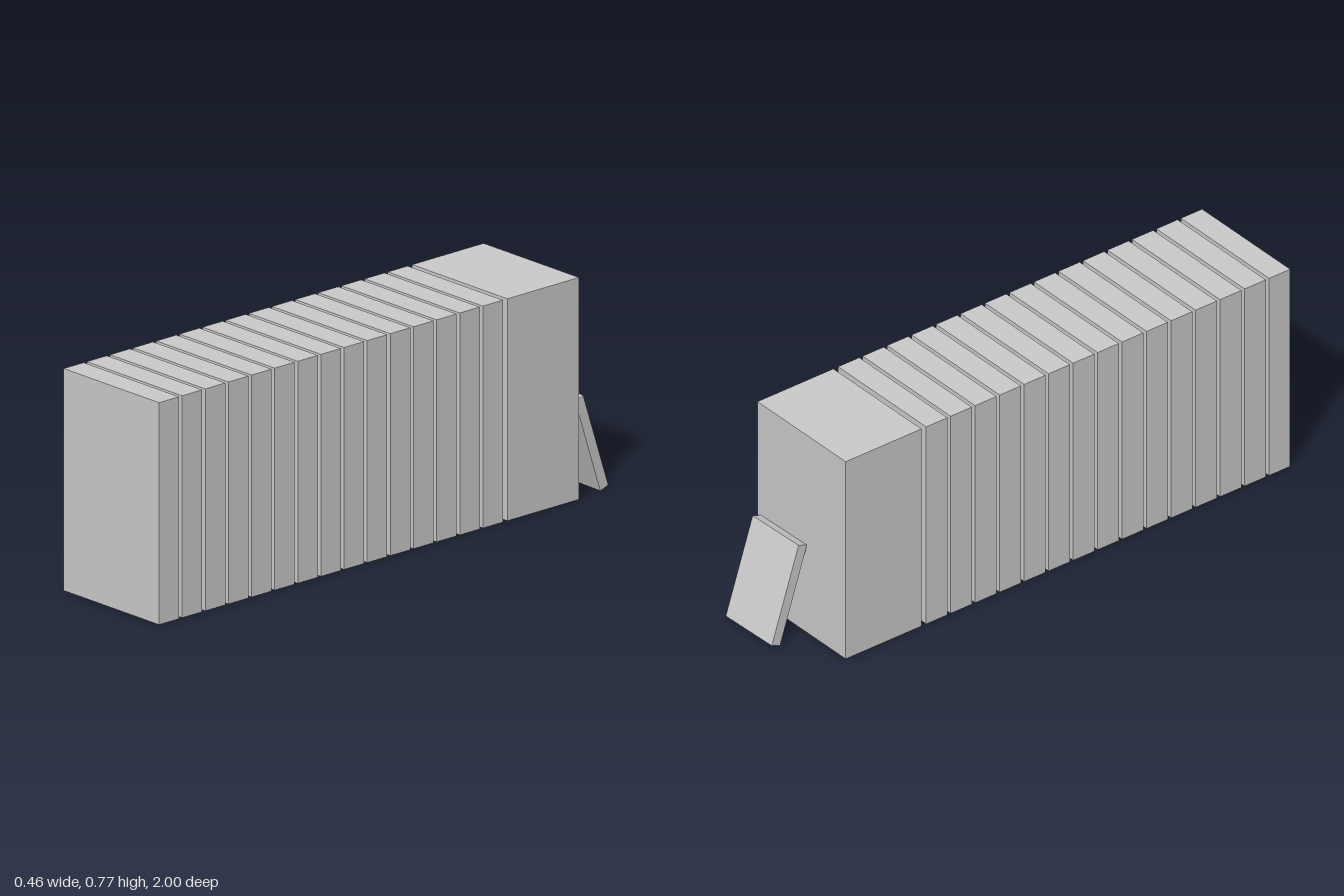
import * as THREE from 'three';

const material = new THREE.MeshStandardMaterial({ color: 0xcccccc, flatShading: true });

function box(name, w, h, d, x, y, z) {
  const mesh = new THREE.Mesh(new THREE.BoxGeometry(w, h, d), material);
  mesh.name = name;
  mesh.position.set(x, y, z);
  return mesh;
}

export function createModel() {
  const model = new THREE.Group();
  model.name = 'slabRow';

  const width = 0.46, height = 0.764, base = 0.006;
  const centreY = base + height / 2;

  // Row of upright slabs with narrow gaps
  const slabs = new THREE.Group();
  slabs.name = 'slabs';
  const count = 15, thickness = 0.088, pitch = 0.1018;
  for (let i = 0; i < count; i++) {
    const z = 1 - thickness / 2 - i * pitch;
    slabs.add(box(`slab${i + 1}`, width, height, thickness, 0, centreY, z));
  }
  model.add(slabs);

  // Thick block closing the back of the row
  const back = -0.848, front = -0.533;
  model.add(box('endBlock', width, height, front - back, 0, centreY, (front + back) / 2));

  // Small plate leaning against the end block, slightly askew
  const plate = box('leaningPlate', 0.238, 0.358, 0.037, 0.089, 0.179, -0.9235);
  plate.rotation.set(0.334, 0, -0.02);
  model.add(plate);

  return model;
}
